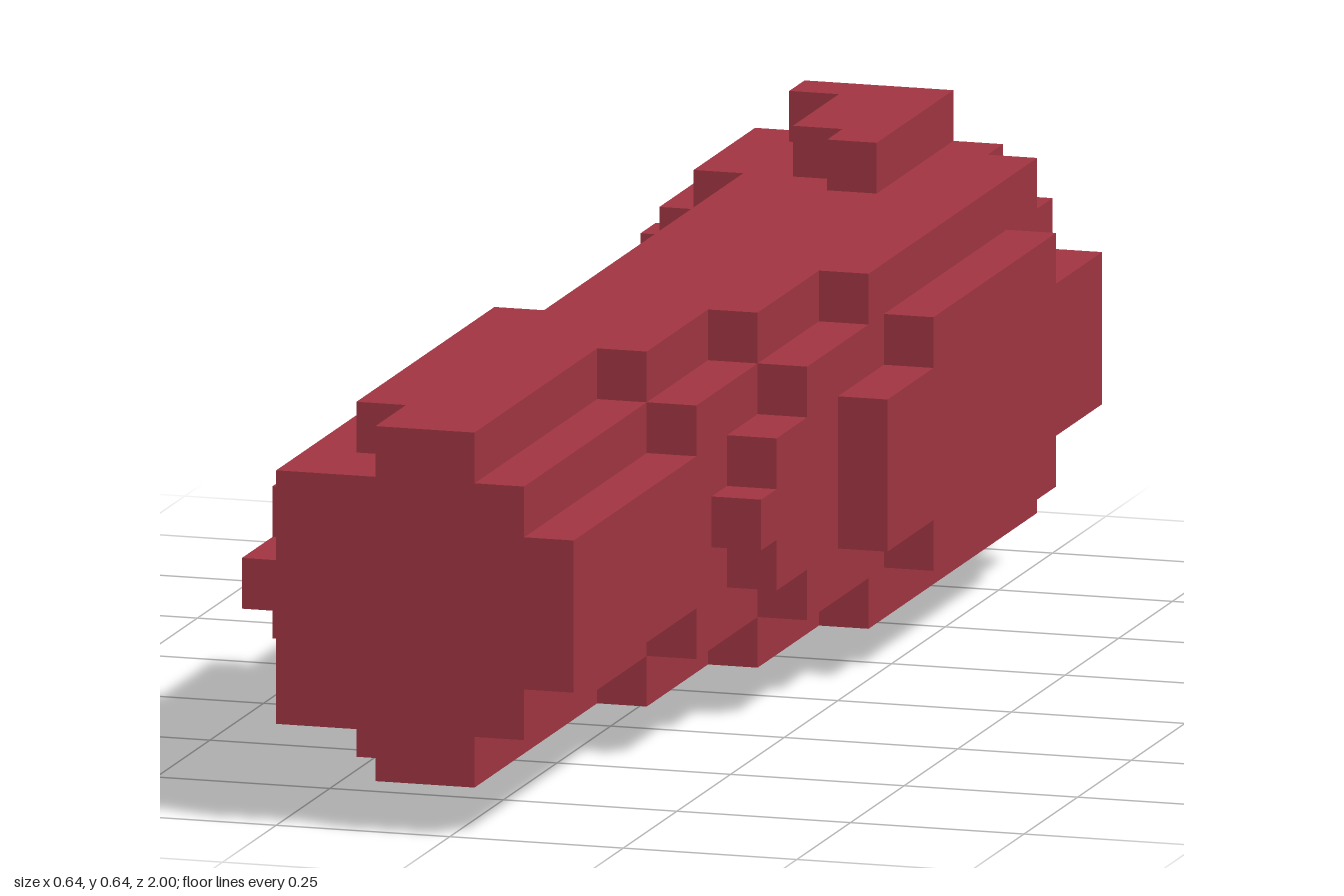
import * as THREE from 'three';

const LENGTH = 28;          // blocks along z
const U = 2 / LENGTH;       // block size
const HALF = 4.5;           // half of the nine blocks across

// Layers from the middle outwards. Each edge is a list of [first z block, x block line].
const LAYERS = [
  { left: [[0, 0], [1, 1], [7, 2], [12, 1], [19, 0], [27, 1]],
    right: [[0, 9], [14, 8], [19, 7]], end: 28 },
  { left: [[0, 0], [1, 1], [6, 2], [13, 1], [20, 0], [25, 1]],
    right: [[0, 9], [14, 8], [18, 7]], end: 28 },
  { left: [[0, 1], [3, 2], [16, 1]],
    right: [[0, 8], [3, 9], [11, 8], [16, 7], [20, 6]], end: 28 },
  { left: [[0, 2], [4, 3], [17, 2], [26, 3]],
    right: [[0, 7], [1, 8], [12, 7], [16, 6], [20, 5]], end: 28 },
  { left: [[0, 3], [1, 4], [4, 5]],
    right: [[0, 6]], end: 5 },
];

// Stepped edge running from back to front
function edgePoints(steps, end) {
  return steps.flatMap(([z, x], i) => {
    const next = i + 1 < steps.length ? steps[i + 1][0] : end;
    return [z, next].map((k) => new THREE.Vector2((x - HALF) * U, 1 - k * U));
  });
}

// One block-high slab with stepped sides
function layerGeometry({ left, right, end }) {
  const outline = [...edgePoints(left, end), ...edgePoints(right, end).reverse()];
  const geometry = new THREE.ExtrudeGeometry(new THREE.Shape(outline), {
    depth: U, bevelEnabled: false,
  });
  return geometry.rotateX(-Math.PI / 2);
}

export function createModel() {
  const group = new THREE.Group();
  group.name = 'blockyLog';
  const bark = new THREE.MeshStandardMaterial({ color: 0x9f3441 });
  bark.name = 'dark red';

  // Upper and lower layers mirror each other about the middle one
  LAYERS.forEach((layer, i) => {
    const geometry = layerGeometry(layer);
    for (const side of i === 0 ? [1] : [1, -1]) {
      const mesh = new THREE.Mesh(geometry, bark);
      mesh.name = i === 0 ? 'middleLayer' : `${side > 0 ? 'upper' : 'lower'}Layer${i}`;
      mesh.position.y = (4 + side * i) * U;
      group.add(mesh);
    }
  });
  return group;
}
